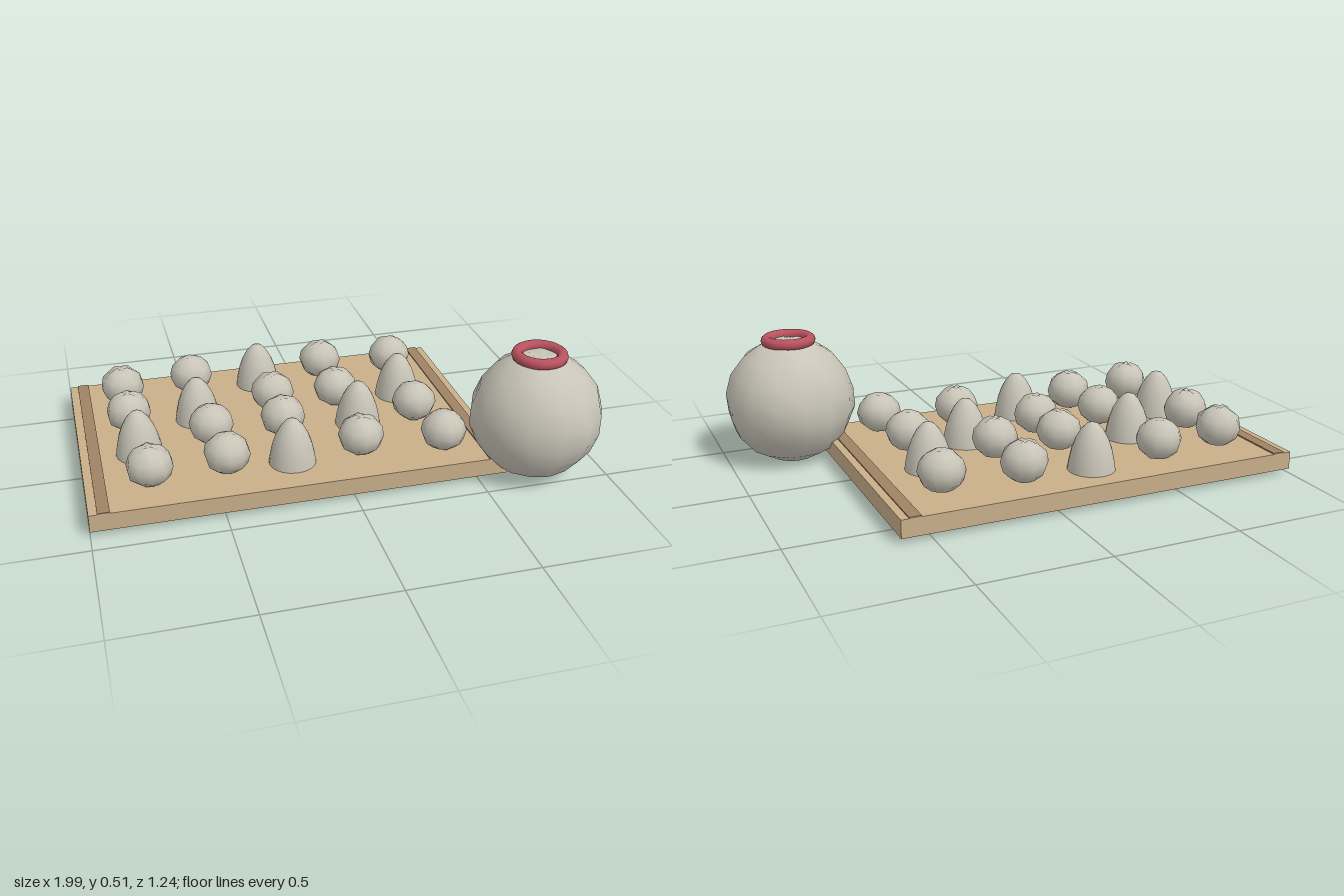
import * as THREE from 'three';
import { mergeVertices } from 'three/addons/utils/BufferGeometryUtils.js';

const mat = (name, color) => {
  const m = new THREE.MeshStandardMaterial({ color });
  m.name = name;
  return m;
};

// Turned form with gentle dents; folds pucker the vertices near the top centre
function dentedLathe(profile, segments, dent, seed, folds = 0) {
  const g = new THREE.LatheGeometry(profile.map(([r, y]) => new THREE.Vector2(r, y)), segments);
  const p = g.attributes.position;
  const top = profile[profile.length - 1][1];
  for (let i = 0; i < p.count; i++) {
    const x = p.getX(i), y = p.getY(i), z = p.getZ(i);
    const r = Math.hypot(x, z);
    if (r < 1e-5) { p.setXYZ(i, 0, y, 0); continue; }
    const a = Math.atan2(z, x);
    const t = y / top * 7;
    const k = 1 + dent * (Math.sin(3 * a + t + seed) + Math.sin(5 * a - 1.7 * t + seed * 2.3)) / 2;
    const pucker = y > top * 0.9 ? folds * Math.sin(5 * a + seed) : 0;
    p.setXYZ(i, x * k, y + pucker, z * k);
  }
  g.deleteAttribute('uv');
  g.deleteAttribute('normal');
  const merged = mergeVertices(g, 1e-4);
  merged.computeVertexNormals();
  return merged;
}

export function createModel() {
  const group = new THREE.Group();
  const wood = mat('lightWood', 0xc9af8a);
  const darkWood = mat('darkWood', 0x9f8265);
  const dough = mat('paleCloth', 0xc8c4b7);
  const red = mat('redBand', 0xb9525f);

  const add = (name, geometry, material, x, y, z) => {
    const m = new THREE.Mesh(geometry, material);
    m.name = name;
    m.position.set(x, y, z);
    group.add(m);
    return m;
  };

  // Board with a dark strip near each end
  add('board', new THREE.BoxGeometry(1.615, 0.07, 1.035), wood, -0.1925, 0.055, -0.107);
  for (const x of [-0.945, 0.562]) {
    add('endStrip', new THREE.BoxGeometry(0.046, 0.006, 1.035), darkWood, x, 0.092, -0.107);
  }

  // Rows of round buns and tall cones: x, z, isCone
  const pieces = [
    [-0.785, -0.435, 0], [-0.49, -0.47, 0], [-0.2, -0.465, 1], [0.085, -0.475, 0], [0.395, -0.44, 0],
    [-0.785, -0.2, 0], [-0.505, -0.21, 1], [-0.185, -0.22, 0], [0.08, -0.2, 0], [0.36, -0.215, 1],
    [-0.77, 0.01, 1], [-0.48, -0.01, 0], [-0.19, -0.005, 0], [0.125, -0.01, 1], [0.36, 0.01, 0],
    [-0.755, 0.245, 0], [-0.46, 0.23, 0], [-0.205, 0.225, 1], [0.07, 0.225, 0], [0.395, 0.27, 0],
  ];
  const bunProfile = [[0, 0], [0.045, 0.007], [0.077, 0.034], [0.09, 0.075], [0.08, 0.113],
    [0.053, 0.141], [0.022, 0.156], [0, 0.152]];
  const coneProfile = [[0, 0], [0.092, 0], [0.087, 0.035], [0.077, 0.08], [0.063, 0.12],
    [0.044, 0.155], [0.022, 0.18], [0, 0.187]];
  const cone = dentedLathe(coneProfile.slice(1), 20, 0, 0);
  pieces.forEach(([x, z, isCone], i) => {
    if (isCone) add('cone', cone, dough, x, 0.09, z);
    else add('bun', dentedLathe(bunProfile, 10, 0.06, i * 1.9, 0.004), dough, x, 0.093, z);
  });

  // Big round sack, gathered at the neck by a band
  const sackProfile = [[0, 0.002], [0.085, 0.006], [0.165, 0.05], [0.225, 0.12], [0.253, 0.2],
    [0.254, 0.28], [0.228, 0.36], [0.175, 0.43], [0.115, 0.47], [0.072, 0.488], [0.035, 0.492], [0, 0.484]];
  add('sack', dentedLathe(sackProfile, 14, 0.025, 0.8, 0.003), dough, 0.738, 0, 0.362);
  const band = add('neckBand', new THREE.TorusGeometry(0.086, 0.022, 10, 28), red, 0.735, 0.492, 0.358);
  band.rotation.x = Math.PI / 2;

  return group;
}
